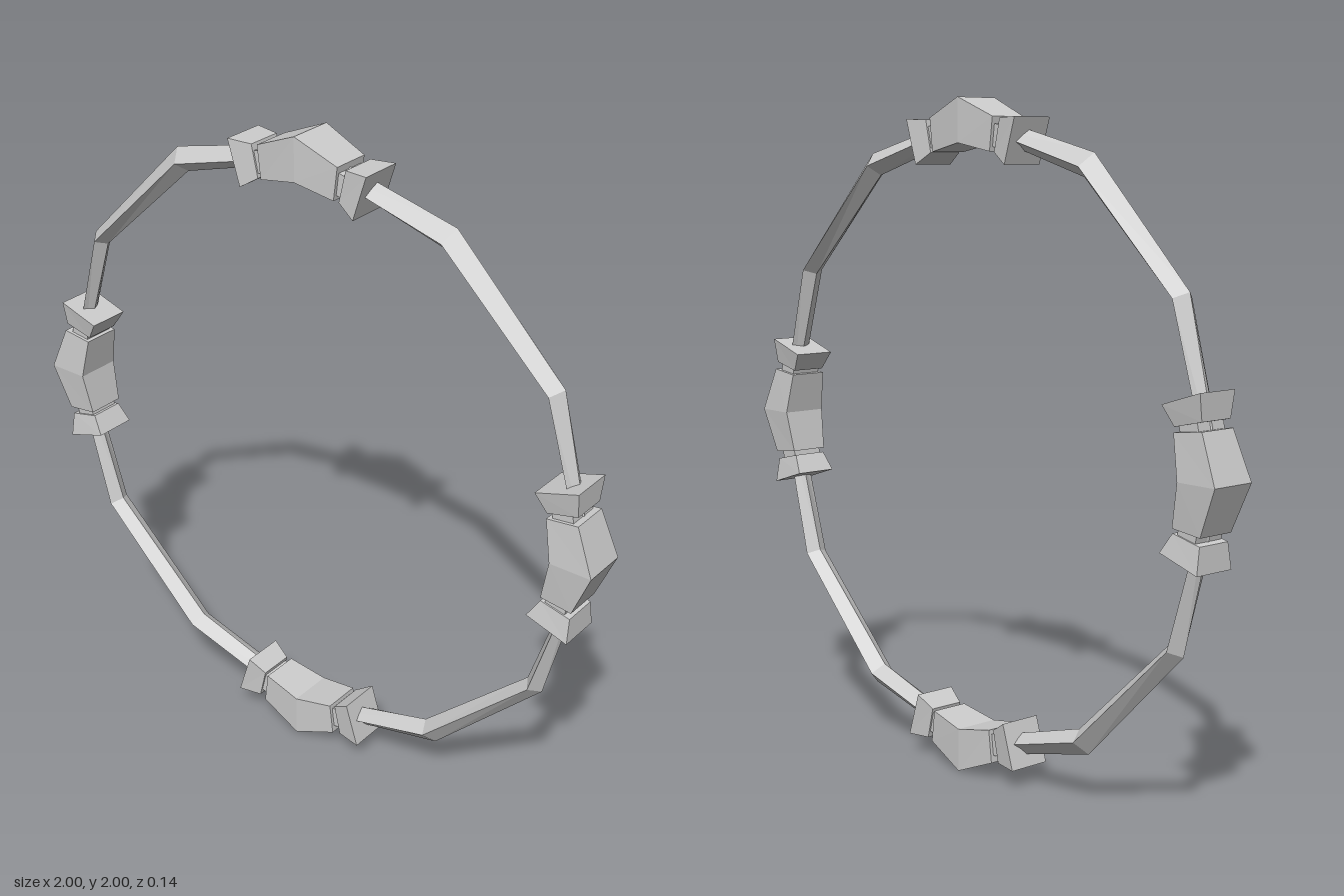
import * as THREE from 'three';

const material = new THREE.MeshStandardMaterial({ color: 0xcccccc, flatShading: true });

// Skin four-cornered cross-sections, listed counter-clockwise round the ring
function loft(name, sections, closed) {
  const pos = [];
  const quad = (a, b, c, d) => [a, b, c, a, c, d].forEach(p => pos.push(...p));
  const count = closed ? sections.length : sections.length - 1;
  for (let i = 0; i < count; i++) {
    const s = sections[i], t = sections[(i + 1) % sections.length];
    for (let j = 0; j < 4; j++) {
      const k = (j + 1) % 4;
      quad(s[j], t[j], t[k], s[k]);
    }
  }
  if (!closed) {
    quad(...sections[0]);
    quad(...[...sections[sections.length - 1]].reverse());
  }
  const geometry = new THREE.BufferGeometry();
  geometry.setAttribute('position', new THREE.Float32BufferAttribute(pos, 3));
  geometry.computeVertexNormals();
  const mesh = new THREE.Mesh(geometry, material);
  mesh.name = name;
  return mesh;
}

// Rectangular section from outer point, inner point and half depth
const rect = ([ox, oy, ix, iy, w]) => [[ox, oy, w], [ix, iy, w], [ix, iy, -w], [ox, oy, -w]];
const mirror = list => list.map(([ox, oy, ix, iy, w]) => [-ox, oy, -ix, iy, w]).reverse();

// Twelve-sided hoop with a diamond section that is slimmer at the sides
function hoop() {
  const sizes = [ // outer, middle, inner radius, half depth
    [0.96, 0.948, 0.935, 0.03],
    [0.97, 0.938, 0.913, 0.038],
    [0.972, 0.928, 0.895, 0.041],
    [0.96, 0.93, 0.906, 0.04],
  ];
  const sections = [];
  for (let i = 0; i < 12; i++) {
    const step = i % 6;
    const [outer, mid, inner, w] = sizes[step > 3 ? 6 - step : step];
    const a = i * Math.PI / 6, c = Math.cos(a), s = Math.sin(a);
    sections.push([[outer * c, outer * s, 0], [mid * c, mid * s, w],
      [inner * c, inner * s, 0], [mid * c, mid * s, -w]]);
  }
  return loft('hoop', sections, true);
}

// Peaked grip block with a neck and a flared collar on each side
function grip() {
  const group = new THREE.Group();
  const block = [[0.138, 0.943, 0.126, 0.845, 0.06], [0, 1, 0, 0.87, 0.071], [-0.138, 0.943, -0.126, 0.845, 0.06]];
  const neck = [[0.175, 0.915, 0.16, 0.852, 0.05], [0.12, 0.926, 0.11, 0.862, 0.05]];
  const collar = [[0.238, 0.941, 0.196, 0.808, 0.067], [0.162, 0.938, 0.14, 0.843, 0.055]];
  group.add(loft('gripBlock', block.map(rect)));
  for (const [name, part] of [['neck', neck], ['collar', collar]]) {
    group.add(loft(name + 'Left', part.map(rect)));
    group.add(loft(name + 'Right', mirror(part).map(rect)));
  }
  return group;
}

export function createModel() {
  const model = new THREE.Group();
  model.name = 'ring';
  const body = new THREE.Group();
  body.name = 'ringBody';
  body.position.y = 1;
  body.add(hoop());
  ['gripTop', 'gripRight', 'gripBottom', 'gripLeft'].forEach((name, i) => {
    const g = grip();
    g.name = name;
    g.rotation.z = i * Math.PI / 2;
    body.add(g);
  });
  model.add(body);
  return model;
}
